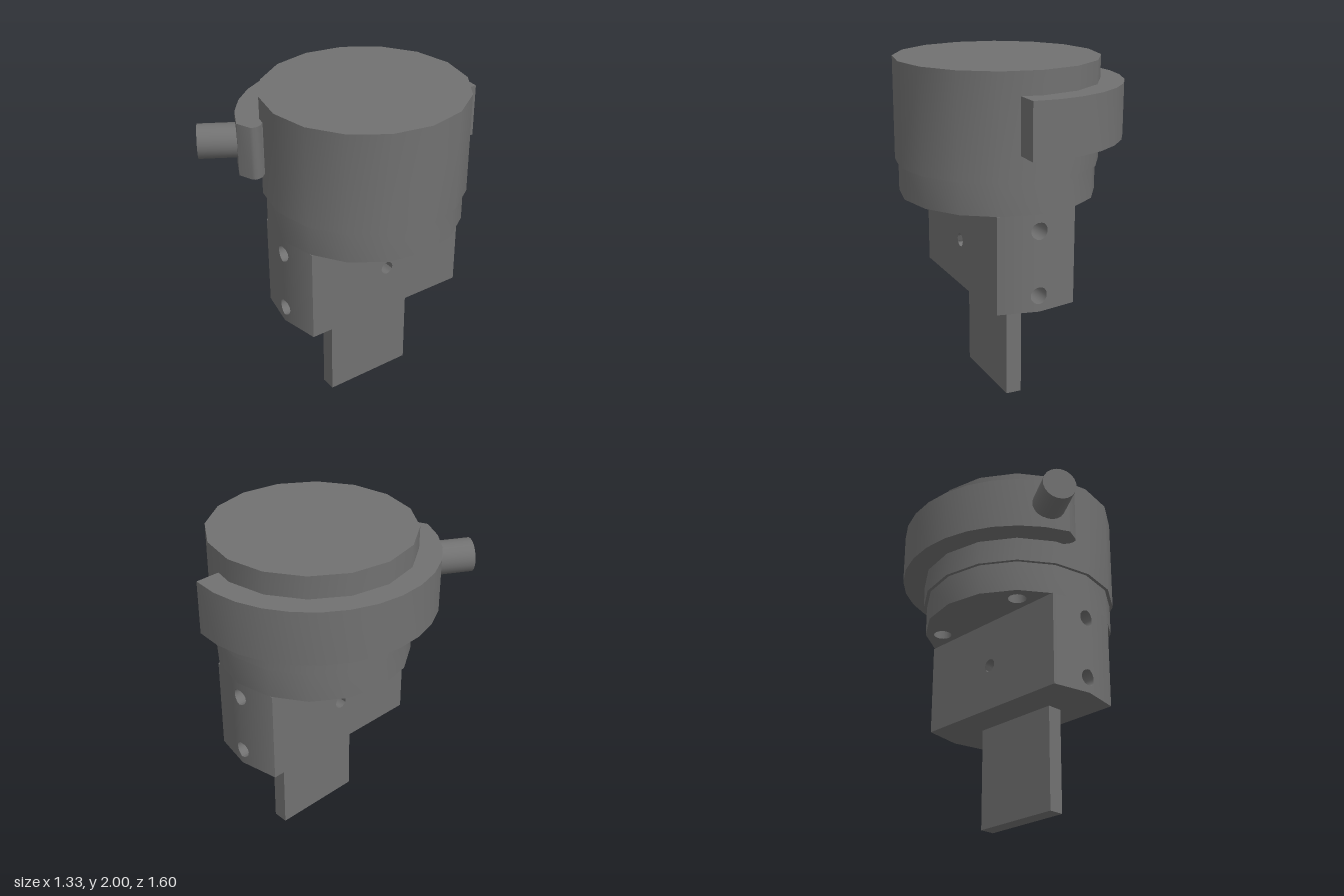
import * as THREE from 'three';
import { toCreasedNormals } from 'three/addons/utils/BufferGeometryUtils.js';

const SIDES = 16;
const FLANGE_R = 0.58;
const BLOCK_Y = 0.632;
const BLOCK_H = 0.573;
const BLOCK_W = 0.24; // half width of the block
const CORE_W = 0.08; // half width of its drilled middle

export function createModel() {
  const model = new THREE.Group();
  const body = new THREE.Group();
  body.name = 'body';
  body.position.set(0.064, 0, -0.07);
  model.add(body);
  const material = new THREE.MeshStandardMaterial({ color: 0x717171 });

  const add = (name, geometry, x = 0, y = 0, z = 0) => {
    const mesh = new THREE.Mesh(toCreasedNormals(geometry, 0.75), material);
    mesh.name = name;
    mesh.position.set(x, y, z);
    body.add(mesh);
    return mesh;
  };
  const points = (list) => list.map((p) => new THREE.Vector2(...p));
  const hole = (x, y, r) => new THREE.Path().absarc(x, y, r, 0, Math.PI * 2, true);
  const extrude = (shape, depth) =>
    new THREE.ExtrudeGeometry(shape, { depth, bevelEnabled: false, curveSegments: 8 });

  // Block piece: its ends follow the flange's outline and are shaded round
  const addBlockPiece = (name, geometry) => {
    const p = geometry.attributes.position;
    for (let i = 0; i < p.count; i++) {
      const z = p.getZ(i);
      if (Math.abs(z) > 0.3) p.setZ(i, Math.sign(z) * (FLANGE_R - 0.199 * Math.abs(p.getX(i))));
    }
    const { position, normal } = add(name, geometry, 0, BLOCK_Y, 0).geometry.attributes;
    const n = new THREE.Vector3();
    for (let i = 0; i < normal.count; i++) {
      if (Math.abs(normal.getZ(i)) < 0.85) continue;
      n.set(position.getX(i), 0, position.getZ(i)).normalize();
      normal.setXYZ(i, n.x, n.y, n.z);
    }
  };

  // Round head
  add('head', new THREE.CylinderGeometry(0.6, 0.6, 0.605, SIDES), 0, 1.6975, 0);

  // Flange under the head with four bolt holes
  const disc = new THREE.Shape(points(Array.from({ length: SIDES }, (_, i) => {
    const a = (i / SIDES) * Math.PI * 2;
    return [FLANGE_R * Math.cos(a), FLANGE_R * Math.sin(a)];
  })));
  for (const sx of [-1, 1]) for (const sy of [-1, 1]) disc.holes.push(hole(sx * 0.335, sy * 0.335, 0.055));
  add('flange', extrude(disc, 0.195).rotateX(-Math.PI / 2), 0, 1.205, 0);

  // Half of the block's middle, notched by half of each end hole
  const core = new THREE.Shape(points([[0, 0], [CORE_W, 0], [CORE_W, BLOCK_H], [0, BLOCK_H]]));
  core.absarc(0, 0.475, 0.05, Math.PI / 2, -Math.PI / 2, true);
  core.absarc(0, 0.095, 0.05, Math.PI / 2, -Math.PI / 2, true);

  // Cheek of the block with a hole in its flat face
  const cheek = new THREE.Shape(points([[-0.5, 0], [0.5, 0], [0.5, BLOCK_H], [-0.5, BLOCK_H]]));
  cheek.holes.push(hole(0, 0.283, 0.04));

  for (const s of [1, -1]) {
    const side = s > 0 ? 'left' : 'right';
    addBlockPiece(side + 'BlockCore', extrude(core, 1).translate(0, 0, -0.5).rotateY(s > 0 ? 0 : Math.PI));
    addBlockPiece(side + 'BlockCheek',
      extrude(cheek, BLOCK_W - CORE_W).translate(0, 0, CORE_W).rotateY((s * Math.PI) / 2));
  }
  // Solid filling that closes the end holes
  add('blockFilling', new THREE.BoxGeometry(0.15, 0.55, 0.6), 0, 0.918, 0);

  // Flat blade
  add('blade', new THREE.BoxGeometry(0.095, 0.65, 0.572), 0.02, 0.325, 0);

  // Collar wrapped around one side of the head, with a rounded tip
  const arc = (r, from, to) => Array.from({ length: 15 }, (_, i) => {
    const a = THREE.MathUtils.degToRad(from + ((to - from) * i) / 14);
    return new THREE.Vector2(r * Math.cos(a), r * Math.sin(a));
  });
  const tip = points([[-0.165, -0.654], [-0.154, -0.642], [-0.15, -0.62], [-0.157, -0.59], [-0.177, -0.57]]);
  const collar = new THREE.Shape([...arc(0.733, 80.5, 250), ...tip, ...arc(0.58, 252, 78.1)]);
  add('collar', extrude(collar, 0.322).rotateX(-Math.PI / 2), 0, 1.544, 0);

  // Pin standing out radially from the collar
  const pin = add('pin', new THREE.CylinderGeometry(0.1, 0.1, 0.36, 20), -0.3835, 1.705, 0.6655);
  pin.quaternion.setFromUnitVectors(new THREE.Vector3(0, 1, 0), new THREE.Vector3(-0.5, 0, 0.866).normalize());

  return model;
}
